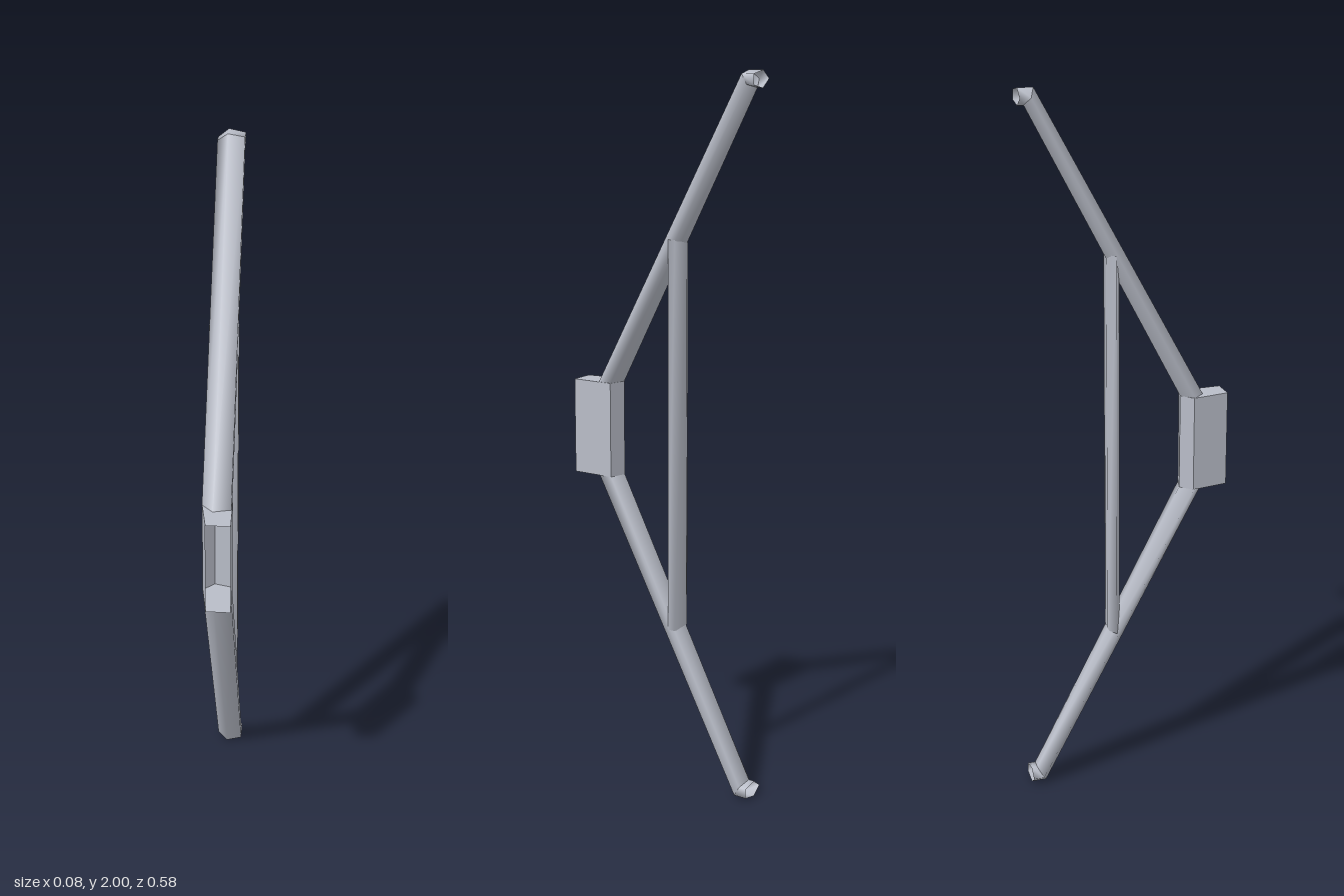
import * as THREE from 'three';

const metal = new THREE.MeshStandardMaterial({ color: 0xb9bdc8, side: THREE.DoubleSide });
metal.name = 'pale grey metal';

// Five-sided tube section, pointing to -x: [x, depth]
const SECTION = [[-0.012, 1], [0.036, 0.6], [0.036, -0.6], [-0.012, -1], [-0.043, 0]];

// Ring of the section at height y and depth z; half-depth runs along (dy, dz)
const ring = (y, z, dy, dz, width = 1) =>
  SECTION.map(([x, d]) => new THREE.Vector3(x * width, y + d * dy, z + d * dz));

// Skin between two point rows, listed counter-clockwise seen from the second row
function skin(a, b, closed = true) {
  const n = a.length, index = [];
  for (let i = 0; i < (closed ? n : n - 1); i++) {
    const j = (i + 1) % n;
    index.push(i, j, n + j, i, n + j, n + i);
  }
  const g = new THREE.BufferGeometry().setFromPoints([...a, ...b]);
  g.setIndex(index);
  g.computeVertexNormals();
  return g;
}

function add(group, name, geometry) {
  const mesh = new THREE.Mesh(geometry, metal);
  mesh.name = name;
  group.add(mesh);
}

// Sloping arm with a short stub turned to the back, open at its end
function arm(name, baseY, tipY, side) {
  const group = new THREE.Group();
  group.name = name;
  const rings = [
    ring(baseY, 0.188, 0, 0.033),
    ring(tipY, -0.26, side * 0.0225, 0.013, 0.92),
    ring(tipY, -0.29, side * 0.0225, 0, 0.92),
  ];
  ['tube', 'stub'].forEach((part, i) => {
    const [a, b] = side > 0 ? [rings[i], rings[i + 1]] : [rings[i + 1], rings[i]];
    add(group, part, skin(a, b));
  });
  return group;
}

// Box open to the front, with a ridged back
function bracket(y0, y1) {
  const group = new THREE.Group();
  group.name = 'bracket';
  const outline = [[0.041, 0.29], [0.037, 0.168], [-0.012, 0.155], [-0.043, 0.186], [-0.025, 0.29]];
  const row = (y) => outline.map(([x, z]) => new THREE.Vector3(x, y, z));
  const walls = skin(row(y0), row(y1), false).toNonIndexed();
  walls.computeVertexNormals();
  add(group, 'walls', walls);
  const shape = new THREE.Shape(outline.map(([x, z]) => new THREE.Vector2(x, -z)));
  add(group, 'topPlate', new THREE.ShapeGeometry(shape).rotateX(-Math.PI / 2).translate(0, y1, 0));
  const under = new THREE.Shape(outline.map(([x, z]) => new THREE.Vector2(x, z)));
  add(group, 'bottomPlate', new THREE.ShapeGeometry(under).rotateX(Math.PI / 2).translate(0, y0, 0));
  return group;
}

export function createModel() {
  const model = new THREE.Group();
  model.name = 'handle';
  model.add(arm('upperArm', 1.14, 1.9775, 1));
  model.add(arm('lowerArm', 0.87, 0.0225, -1));
  model.add(bracket(0.87, 1.14));
  // Upright strut joining the arms
  add(model, 'strut', skin(ring(0.455, -0.039, 0, 0.018), ring(1.555, -0.039, 0, 0.018)));
  return model;
}
